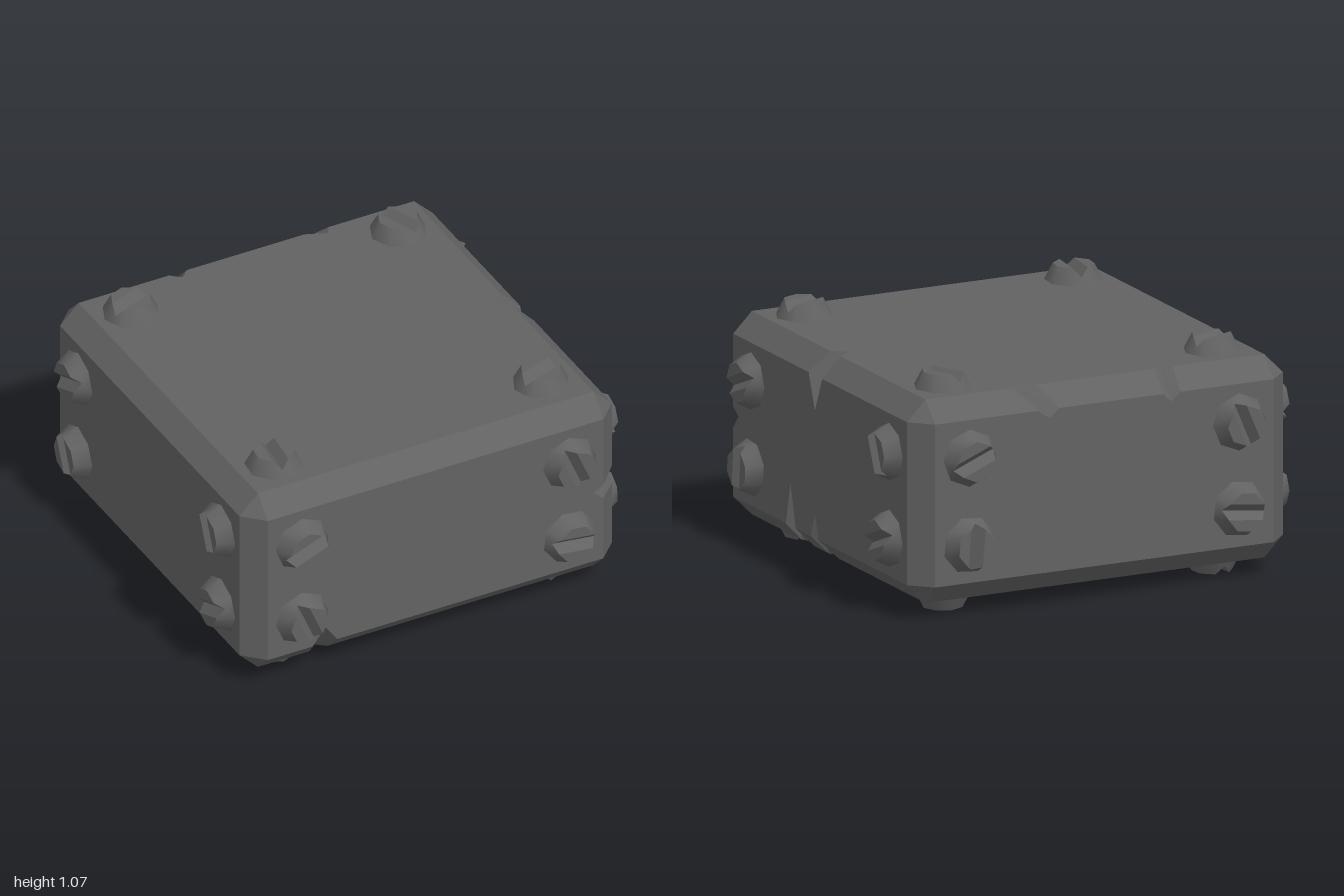
import * as THREE from 'three';
import { mergeVertices } from 'three/addons/utils/BufferGeometryUtils.js';

const metal = new THREE.MeshStandardMaterial({ color: 0x626262 });
metal.name = 'dark grey metal';

const HALF = [0.927, 0.4625, 0.927]; // half sizes of the block
const MID_Y = 0.5375;
const BEVEL = 0.092;

// Axis and sign of each face
const FACES = {
  right: [0, 1], left: [0, -1], top: [1, 1], bottom: [1, -1], front: [2, 1], back: [2, -1],
};

// Chips in the bevels. Each side is [low, tip, high, depth]: three positions
// along the edge, and how far the tip runs into the face.
const CHIPS = [
  { a: 'right', b: 'front', sa: [-0.055, 0.005, 0.04, 0.05], sb: [-0.05, -0.005, 0.02, 0.05] },
  { a: 'right', b: 'top', sa: [-0.02, 0.05, 0.11, 0.16], sb: [-0.02, 0.03, 0.08, 0.075] },
  { a: 'right', b: 'bottom', sa: [0.235, 0.285, 0.33, 0.195], sb: [0.235, 0.285, 0.35, 0.07] },
  { a: 'right', b: 'bottom', sa: [0.015, 0.05, 0.09, 0.11], sb: [0.0, 0.045, 0.09, 0.04] },
  { a: 'front', b: 'bottom', sa: [-0.61, -0.55, -0.49, 0.085], sb: [-0.58, -0.54, -0.49, 0.04] },
  { a: 'back', b: 'top', sa: [-0.375, -0.33, -0.29, 0.04], sb: [-0.385, -0.34, -0.295, 0.04] },
  { a: 'back', b: 'top', sa: [0.22, 0.27, 0.33, 0.04], sb: [0.29, 0.385, 0.41, 0.04] },
];

// Adds a triangle, turned so that it faces along the given direction
function addTri(out, a, b, c, facing) {
  const n = b.clone().sub(a).cross(c.clone().sub(a));
  const pts = n.dot(facing) < 0 ? [a, c, b] : [a, b, c];
  pts.forEach((p) => out.push(p.x, p.y, p.z));
}

function addQuad(out, a, b, c, d, facing) {
  addTri(out, a, b, c, facing);
  addTri(out, a, c, d, facing);
}

function toGeometry(out, smooth = false) {
  let g = new THREE.BufferGeometry();
  g.setAttribute('position', new THREE.Float32BufferAttribute(out, 3));
  if (smooth) g = mergeVertices(g);
  g.computeVertexNormals();
  return g;
}

function normalOf(face) {
  const [axis, sign] = FACES[face];
  return new THREE.Vector3().setComponent(axis, sign);
}

// Point on a face, at position t along its edge with another face
function edgePoint(face, other, t, depth = 0) {
  const [ax, s] = FACES[face];
  const [bx, r] = FACES[other];
  const p = new THREE.Vector3();
  p.setComponent(ax, s * HALF[ax]);
  p.setComponent(bx, r * (HALF[bx] - BEVEL - depth));
  p.setComponent(3 - ax - bx, t);
  return p;
}

// Chips on the edge of two faces, given as seen from the first, sorted along the edge
function chipsOn(face, other) {
  return CHIPS.filter((c) => (c.a === face && c.b === other) || (c.a === other && c.b === face))
    .map((c) => (c.a === face ? { near: c.sa, far: c.sb } : { near: c.sb, far: c.sa }))
    .sort((p, q) => p.near[1] - q.near[1]);
}

function blockGeometry() {
  const out = [];
  const names = Object.keys(FACES);

  // Flat faces, with the chips cut into their outlines
  for (const face of names) {
    const [ax] = FACES[face];
    const [u, v] = [0, 1, 2].filter((i) => i !== ax);
    const find = (axis, sign) => names.find((n) => FACES[n][0] === axis && FACES[n][1] === sign);
    const ring = [find(v, -1), find(u, 1), find(v, 1), find(u, -1)];
    const points = [];
    ring.forEach((other, i) => {
      const along = 3 - ax - FACES[other][0];
      const end = HALF[along] - BEVEL;
      const side = [edgePoint(face, other, -end)];
      for (const { near: [lo, tip, hi, depth] } of chipsOn(face, other)) {
        side.push(edgePoint(face, other, lo), edgePoint(face, other, tip, depth), edgePoint(face, other, hi));
      }
      side.push(edgePoint(face, other, end));
      if (i > 1) side.reverse();
      points.push(...side.slice(0, -1));
    });
    const flat = points.map((p) => new THREE.Vector2(p.getComponent(u), p.getComponent(v)));
    for (const [i, j, k] of THREE.ShapeUtils.triangulateShape(flat, [])) {
      addTri(out, points[i], points[j], points[k], normalOf(face));
    }
  }

  // Bevel strips and the walls of the chips
  names.forEach((a, i) => names.slice(i + 1).forEach((b) => {
    if (FACES[a][0] === FACES[b][0]) return;
    const along = 3 - FACES[a][0] - FACES[b][0];
    const end = HALF[along] - BEVEL;
    const outward = normalOf(a).add(normalOf(b));
    const axis = new THREE.Vector3().setComponent(along, 1);
    const A = (t, d) => edgePoint(a, b, t, d);
    const B = (t, d) => edgePoint(b, a, t, d);
    let [ta, tb] = [-end, -end];
    for (const { near, far } of chipsOn(a, b)) {
      addQuad(out, A(ta), A(near[0]), B(far[0]), B(tb), outward);
      const tipA = A(near[1], near[3]);
      const tipB = B(far[1], far[3]);
      addQuad(out, tipA, A(near[0]), B(far[0]), tipB, axis);
      addQuad(out, tipA, A(near[2]), B(far[2]), tipB, axis.clone().negate());
      [ta, tb] = [near[2], far[2]];
    }
    addQuad(out, A(ta), A(end), B(end), B(tb), outward);
  }));

  // Corner triangles
  for (const x of ['right', 'left']) for (const y of ['top', 'bottom']) for (const z of ['front', 'back']) {
    const corner = [[x, y, z], [y, z, x], [z, x, y]].map(([f, g, h]) => {
      const k = FACES[h][0];
      return edgePoint(f, g, FACES[h][1] * (HALF[k] - BEVEL));
    });
    addTri(out, ...corner, normalOf(x).add(normalOf(y)).add(normalOf(z)));
  }
  return toGeometry(out);
}

// Eight-sided tapered screw head with a V-shaped slot along x
function screwGeometries() {
  const [rBase, rTop, height, slot] = [0.13, 0.092, 0.073, 0.04];
  const ring = (r, y) => Array.from({ length: 8 }, (_, i) => {
    const t = (i - 0.5) * Math.PI / 4;
    return new THREE.Vector3(r * Math.cos(t), y, r * Math.sin(t));
  });
  const base = ring(rBase, 0);
  const top = ring(rTop, height);
  const up = new THREE.Vector3(0, 1, 0);
  const reach = Math.cos(Math.PI / 8) * (rTop + (rBase - rTop) * slot / height);
  const ends = [1, -1].map((s) => new THREE.Vector3(s * reach, height - slot, 0));

  const side = [];
  for (let i = 0; i < 8; i++) {
    const j = (i + 1) % 8;
    const facing = base[i].clone().add(base[j]);
    if (i % 4) addQuad(side, base[i], base[j], top[j], top[i], facing);
    else {
      const dip = ends[i / 4];
      addTri(side, base[i], base[j], dip, facing);
      addTri(side, base[i], dip, top[i], facing);
      addTri(side, base[j], top[j], dip, facing);
    }
  }
  const cap = [];
  addQuad(cap, top[1], top[2], top[3], top[4], up);
  addQuad(cap, top[5], top[6], top[7], top[0], up);
  addQuad(cap, top[1], top[4], ends[1], ends[0], up);
  addQuad(cap, top[0], top[5], ends[1], ends[0], up);
  return { side: toGeometry(side, true), cap: toGeometry(cap) };
}

// Right and up directions of each face, and the slot angles in degrees:
// upper left, upper right, lower left, lower right
const SCREWS = {
  front: [[1, 0, 0], [0, 1, 0], [22, 113, 113, 173]],
  right: [[0, 0, -1], [0, 1, 0], [22, 113, 85, 22]],
  back: [[-1, 0, 0], [0, 1, 0], [22, 113, 85, 173]],
  left: [[0, 0, 1], [0, 1, 0], [22, 113, 113, 22]],
  top: [[1, 0, 0], [0, 0, -1], [22, 113, 83, 20]],
  bottom: [[1, 0, 0], [0, 0, 1], [22, 113, 85, 22]],
};

export function createModel() {
  const model = new THREE.Group();
  model.name = 'boltedBlock';
  const block = new THREE.Mesh(blockGeometry(), metal);
  block.name = 'chippedBlock';
  model.add(block);

  const { side, cap } = screwGeometries();
  for (const [face, [right, up, angles]] of Object.entries(SCREWS)) {
    const u = new THREE.Vector3(...right);
    const v = new THREE.Vector3(...up);
    const n = normalOf(face);
    const rise = up[1] ? 0.197 : 0.665;
    angles.forEach((angle, i) => {
      const screw = new THREE.Group();
      screw.name = `${face}Screw${i + 1}`;
      const head = new THREE.Mesh(side, metal);
      head.name = 'screwSide';
      const slotted = new THREE.Mesh(cap, metal);
      slotted.name = 'slottedTop';
      screw.add(head, slotted);
      screw.quaternion.setFromRotationMatrix(new THREE.Matrix4().makeBasis(u, n, v.clone().negate()));
      screw.rotateY(THREE.MathUtils.degToRad(angle));
      screw.position.copy(n).multiplyScalar(HALF[FACES[face][0]])
        .addScaledVector(u, i % 2 ? 0.665 : -0.665)
        .addScaledVector(v, i < 2 ? rise : -rise);
      model.add(screw);
    });
  }
  model.position.y = MID_Y;
  return model;
}
